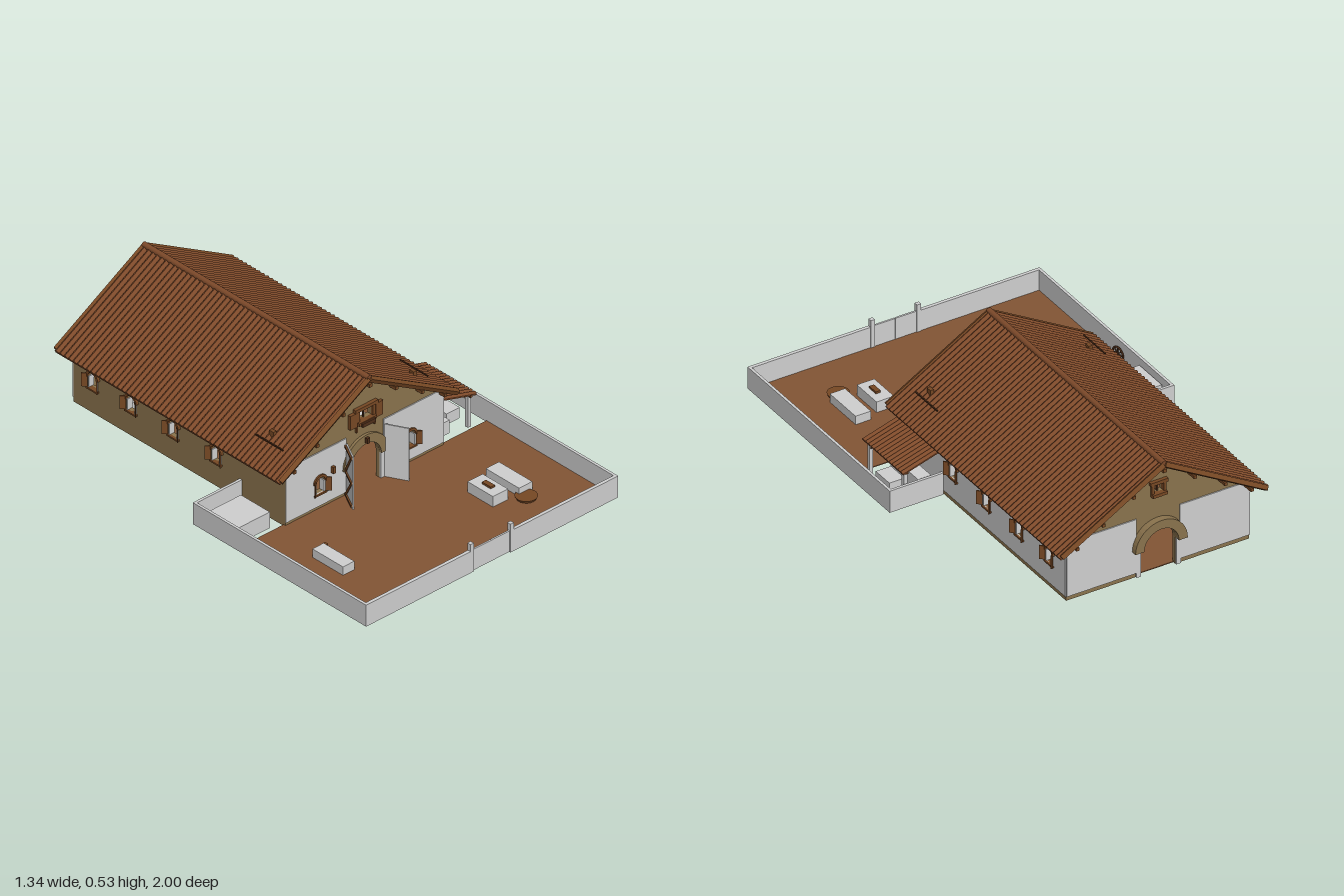
import * as THREE from 'three';

const V = (x, y, z) => new THREE.Vector3(x, y, z);

export function createModel() {
  const root = new THREE.Group();
  const mat = (name, color) => Object.assign(new THREE.MeshStandardMaterial({ color }), { name });
  const plaster = mat('plaster', 0xcfcfcf), stone = mat('ochre stone', 0x8a734d);
  const tile = mat('roof tile', 0x7e4a2a), earth = mat('yard earth', 0x825535);
  const wood = mat('wood', 0x774824), dark = mat('dark wood', 0x4f2f1a);

  const add = (parent, name, geo, m, x = 0, y = 0, z = 0) => {
    const mesh = new THREE.Mesh(geo, m);
    mesh.name = name;
    mesh.position.set(x, y, z);
    parent.add(mesh);
    return mesh;
  };
  // Box given by its extents along each axis
  const box = (parent, name, m, x0, x1, y0, y1, z0, z1) =>
    add(parent, name, new THREE.BoxGeometry(x1 - x0, y1 - y0, z1 - z0), m, (x0 + x1) / 2, (y0 + y1) / 2, (z0 + z1) / 2);
  // Square beam between two points
  const beam = (parent, name, m, a, b, t = 0.01) => {
    const mesh = add(parent, name, new THREE.BoxGeometry(t, t, a.distanceTo(b)), m);
    mesh.position.copy(a).lerp(b, 0.5);
    mesh.quaternion.setFromUnitVectors(V(0, 0, 1), b.clone().sub(a).normalize());
    return mesh;
  };
  const extrude = (shape, depth) => new THREE.ExtrudeGeometry(shape, { depth, bevelEnabled: false, curveSegments: 10 });
  const poly = pts => new THREE.Shape(pts.map(p => new THREE.Vector2(...p)));
  const archHole = (cx, y0, spring, r) => {
    const p = new THREE.Path();
    p.moveTo(cx - r, y0);
    p.lineTo(cx + r, y0);
    p.lineTo(cx + r, spring);
    p.absarc(cx, spring, r, 0, Math.PI, false);
    p.lineTo(cx - r, y0);
    return p;
  };
  const archRing = (r, R) => {
    const s = new THREE.Shape();
    s.absarc(0, 0, R, 0, Math.PI, false);
    s.absarc(0, 0, r, Math.PI, 0, true);
    return s;
  };

  // Arched window with plaster lining and two half-open shutters
  const windowHole = (cx, y) => archHole(cx, y, y + 0.05, 0.025);
  const addWindow = (wall, cx, y) => {
    const g = new THREE.Group();
    g.name = 'archedWindow';
    g.position.set(cx, y, 0);
    wall.add(g);
    add(g, 'windowArch', extrude(archRing(0.025, 0.036), 0.012), wood, 0, 0.05, 0);
    box(g, 'windowSill', wood, -0.032, 0.032, -0.007, 0, -0.01, 0.012);
    for (const s of [-1, 1]) {
      box(g, 'windowLining', plaster, s * 0.0225 - 0.0025, s * 0.0225 + 0.0025, 0, 0.05, -0.021, 0.007);
      const sh = add(g, 'shutter', new THREE.BoxGeometry(0.025, 0.062, 0.005), wood, s * 0.036, 0.033, 0.016);
      sh.rotation.y = -s * 0.75;
    }
  };
  const wallGroup = (name, x, z, ry) => {
    const g = new THREE.Group();
    g.name = name;
    g.position.set(x, 0, z);
    g.rotation.y = ry;
    root.add(g);
    return g;
  };

  // Gable walls: stone core, plaster lower halves, arched portal
  for (const front of [true, false]) {
    const g = wallGroup(front ? 'frontGable' : 'backGable', 0, front ? 0.27 : -0.94, front ? 0 : Math.PI);
    const core = poly([[-0.42, 0], [-0.08, 0], [-0.08, 0.125], [-0.42, 0.125]]);
    core.curves = [];
    const pts = [[-0.42, 0], [-0.08, 0]];
    for (let i = 0; i <= 16; i++) {
      const a = Math.PI * (1 - i / 16);
      pts.push([0.08 * Math.cos(a), 0.125 + 0.08 * Math.sin(a)]);
    }
    pts.push([0.08, 0], [0.42, 0], [0.42, 0.255], [0, 0.498], [-0.42, 0.255]);
    const shape = poly(pts), w = front ? 0.035 : 0.022, y0 = front ? 0.322 : 0.365, y1 = front ? 0.37 : 0.405;
    shape.holes.push(new THREE.Path([[-w, y0], [w, y0], [w, y1], [-w, y1]].map(p => new THREE.Vector2(...p))));
    if (front) for (const s of [-1, 1]) shape.holes.push(windowHole(s * 0.24, 0.08));
    add(g, 'gableCore', extrude(shape, 0.02), stone, 0, 0, -0.02);
    for (const s of [-1, 1]) {
      const p = [[0.1, 0.02], [0.42, 0.02], [0.42, 0.255], [0.395, 0.27], [0.1, 0.27]].map(([x, y]) => [s * x, y]);
      const panel = poly(p);
      if (front) panel.holes.push(windowHole(s * 0.24, 0.08));
      add(g, 'gablePlaster', extrude(panel, 0.005), plaster);
      box(g, 'portalJamb', plaster, s * 0.091 - 0.01, s * 0.091 + 0.01, 0, 0.125, -0.02, 0.008);
      if (front) addWindow(g, s * 0.24, 0.08);
    }
    add(g, 'portalArch', extrude(archRing(0.08, 0.12), front ? 0.012 : 0.03), stone, 0, 0.125, 0);
    // Loft window
    for (const s of [-1, 1]) {
      box(g, 'loftFrameSide', wood, s * (w + 0.006) - 0.006, s * (w + 0.006) + 0.006, y0 - 0.01, y1 + 0.01, -0.01, 0.012);
      if (front) box(g, 'loftShutter', wood, s * 0.068 - 0.019, s * 0.068 + 0.019, 0.305, 0.37, 0, 0.014);
    }
    const t = front ? 0.06 : w + 0.018;
    box(g, 'loftLintel', wood, -t, t, y1, y1 + 0.015, -0.01, 0.016);
    box(g, 'loftSill', wood, -w - 0.012, w + 0.012, y0 - 0.014, y0, -0.01, 0.022);
    box(g, 'loftMullion', dark, -0.003, 0.003, y0, y1, -0.01, -0.004);
    if (front) {
      box(g, 'flowerBox', dark, -0.035, 0.035, 0.302, 0.318, 0.005, 0.03);
      for (const s of [-1, 1]) beam(g, 'flowerBoxBracket', wood, V(s * 0.048, 0.275, 0.006), V(s * 0.048, 0.31, 0.006), 0.008);
    }
  }

  // Long side walls with four windows each
  const windowZ = [-0.12, -0.365, -0.605, -0.825];
  for (const s of [1, -1]) {
    const g = wallGroup(s > 0 ? 'leftWall' : 'rightWall', s * 0.42, -0.335, s * Math.PI / 2);
    const core = poly([[-0.605, 0], [0.605, 0], [0.605, 0.254], [-0.605, 0.254]]);
    const skin = poly([[-0.605, 0.02], [0.605, 0.02], [0.605, 0.254], [-0.605, 0.254]]);
    for (const z of windowZ) {
      const cx = -s * (z + 0.335);
      core.holes.push(windowHole(cx, 0.115));
      skin.holes.push(windowHole(cx, 0.115));
      addWindow(g, cx, 0.115);
    }
    add(g, 'sideCore', extrude(core, 0.02), stone, 0, 0, -0.02);
    if (s > 0) add(g, 'sidePlaster', extrude(skin, 0.004), plaster);
  }

  // Ribbed tile roof: scalloped section swept down the slope
  const ribbedRoof = (name, top, down, zLen, len, ribs, base, amp) => {
    const pts = [[-zLen / 2, 0], [zLen / 2, 0]];
    for (let i = ribs * 6; i >= 0; i--)
      pts.push([-zLen / 2 + zLen * i / (ribs * 6), base + amp * Math.abs(Math.sin(Math.PI * i / 6))]);
    const n = down.x > 0 ? V(-down.y, down.x, 0) : V(down.y, -down.x, 0);
    const mesh = add(root, name, extrude(poly(pts), len), tile);
    mesh.quaternion.setFromRotationMatrix(new THREE.Matrix4().makeBasis(n.clone().cross(down), n, down));
    mesh.position.copy(top);
  };
  const C = Math.cos(Math.PI / 6), S = 0.5;
  for (const s of [-1, 1]) {
    ribbedRoof('mainRoofSlope', V(0, 0.502, -0.345), V(s * C, -S, 0), 1.28, 0.545, 51, 0.012, 0.01);
    // Verge boards, purlin ends, rafter tails and snow guard
    for (const z of [0.297, -0.987]) beam(root, 'vergeBoard', wood, V(s * 0.002, 0.513, z), V(s * 0.47, 0.243, z), 0.02);
    for (const x of [0.14, 0.28, 0.4]) beam(root, 'purlin', wood, V(s * x, 0.492 - x * 0.577, -0.995), V(s * x, 0.492 - x * 0.577, 0.306), 0.014);
    for (let i = 0; i < 16; i++) {
      const z = 0.25 - i * 0.08;
      beam(root, 'rafterTail', wood, V(s * 0.41, 0.257, z), V(s * 0.46, 0.228, z), 0.01);
    }
    beam(root, 'snowGuard', dark, V(s * 0.385, 0.316, 0.06), V(s * 0.385, 0.316, 0.22), 0.005);
    box(root, 'roofVent', wood, s * 0.345 - 0.008, s * 0.345 + 0.008, 0.31, 0.342, s > 0 ? 0.165 : 0.105, s > 0 ? 0.19 : 0.13);
  }
  const ridge = add(root, 'ridgeTiles', new THREE.CylinderGeometry(0.013, 0.013, 1.29, 10), tile, 0, 0.519, -0.345);
  ridge.rotation.x = Math.PI / 2;
  beam(root, 'ridgeBeam', wood, V(0, 0.488, -0.995), V(0, 0.488, 0.308), 0.016);

  // Open portal doors with braces on the inner face
  for (const s of [-1, 1]) {
    const g = wallGroup('portalDoor', s * 0.102, 0.278, s > 0 ? -1.08 : Math.PI + 1.08);
    box(g, 'doorLeaf', plaster, 0, 0.1, 0.006, 0.25, -0.003, 0.003);
    for (const [a, b] of [[0.02, 0.12], [0.13, 0.24]])
      beam(g, 'doorBrace', wood, V(0.008, a, -s * 0.005), V(0.092, b, -s * 0.005), 0.009);
    for (const y of [0.02, 0.125, 0.24])
      beam(g, 'doorLedge', wood, V(0.002, y, -s * 0.005), V(0.098, y, -s * 0.005), 0.009);
  }

  // Floors and courtyard wall
  box(root, 'yardFloor', earth, -0.66, 0.66, 0.002, 0.006, 0.26, 0.985);
  box(root, 'barnFloor', earth, -0.41, 0.41, 0.002, 0.006, -0.93, 0.26);
  box(root, 'yardWallLeft', plaster, 0.658, 0.67, 0, 0.1, -0.045, 1);
  box(root, 'yardWallRight', plaster, -0.67, -0.658, 0, 0.1, 0.01, 1);
  box(root, 'yardWallLeftBack', plaster, 0.424, 0.67, 0, 0.1, -0.045, -0.033);
  box(root, 'yardWallRightBack', plaster, -0.67, -0.42, 0, 0.1, 0.01, 0.022);
  for (const s of [-1, 1]) {
    box(root, 'yardWallFront', plaster, s * 0.389 - 0.281, s * 0.389 + 0.281, 0, 0.1, 0.985, 1);
    box(root, 'gatePost', plaster, s * 0.106 - 0.009, s * 0.106 + 0.009, 0, 0.132, 0.982, 1);
    box(root, 'gateLeaf', plaster, s * 0.05 - 0.049, s * 0.05 + 0.049, 0.003, 0.1, 0.988, 0.996);
  }

  // Lean-to shelter on the left side
  const a = Math.atan2(0.055, 0.185);
  ribbedRoof('shelterRoof', V(0.42, 0.203, 0.11), V(Math.cos(a), -Math.sin(a), 0), 0.3, 0.193, 14, 0.006, 0.007);
  for (const z of [-0.015, 0.235]) {
    box(root, 'shelterPost', plaster, 0.576, 0.592, 0, 0.15, z - 0.008, z + 0.008);
    beam(root, 'shelterBrace', wood, V(0.584, 0.115, z), V(0.584, 0.15, z + (z > 0 ? -0.035 : 0.035)), 0.008);
    beam(root, 'shelterRafter', wood, V(0.42, 0.198, z), V(0.6, 0.145, z), 0.01);
  }
  beam(root, 'shelterBeam', wood, V(0.584, 0.15, -0.035), V(0.584, 0.15, 0.255), 0.012);
  box(root, 'shelterTrough', plaster, 0.44, 0.5, 0, 0.06, 0.02, 0.22);
  box(root, 'shelterTable', plaster, 0.53, 0.6, 0, 0.05, 0.07, 0.17);

  // Yard furniture
  box(root, 'storageBin', plaster, -0.65, -0.47, 0, 0.075, 0.07, 0.235);
  box(root, 'stoneBench', plaster, -0.495, -0.435, 0, 0.045, 0.505, 0.68);
  box(root, 'workTable', plaster, 0.26, 0.34, 0, 0.055, 0.58, 0.725);
  box(root, 'longTrough', plaster, 0.385, 0.455, 0, 0.045, 0.55, 0.74);
  box(root, 'tableTool', wood, 0.29, 0.312, 0.055, 0.064, 0.63, 0.68);
  box(root, 'bucket', wood, -0.425, -0.408, 0.006, 0.028, 0.485, 0.502);
  add(root, 'basket', new THREE.CylinderGeometry(0.046, 0.04, 0.012, 18), wood, 0.4, 0.012, 0.765);
  const wheel = new THREE.Group();
  wheel.name = 'cartWheel';
  wheel.position.set(-0.648, 0.042, 0.39);
  wheel.rotation.set(0, Math.PI / 2 + 0.15, 0);
  root.add(wheel);
  add(wheel, 'wheelRim', new THREE.TorusGeometry(0.031, 0.004, 6, 20), dark);
  for (let i = 0; i < 4; i++)
    add(wheel, 'wheelSpoke', new THREE.BoxGeometry(0.06, 0.004, 0.004), dark).rotation.z = i * Math.PI / 4;

  // Lanterns and tools on the front wall
  box(root, 'wallLantern', wood, -0.182, -0.17, 0.148, 0.178, 0.276, 0.29);
  box(root, 'portalLantern', dark, -0.007, 0.007, 0.212, 0.236, 0.282, 0.296);
  beam(root, 'pitchfork', wood, V(0.185, 0.01, 0.3), V(0.185, 0.13, 0.28), 0.006);
  box(root, 'forkHead', wood, 0.179, 0.191, 0.11, 0.134, 0.277, 0.284);

  // Stalls and chests inside: x, z, width, depth
  for (const [x, z, w, d] of [[0.27, -0.85, 0.12, 0.08], [-0.245, -0.88, 0.12, 0.07], [-0.33, -0.77, 0.08, 0.1],
    [-0.37, -0.56, 0.04, 0.14], [-0.37, -0.31, 0.04, 0.14], [-0.35, -0.05, 0.07, 0.12], [-0.34, 0.14, 0.1, 0.1],
    [0.29, -0.37, 0.06, 0.1], [0.27, -0.11, 0.07, 0.12], [0.3, 0.06, 0.06, 0.12]])
    box(root, 'indoorChest', plaster, x - w / 2, x + w / 2, 0, 0.05, z - d / 2, z + d / 2);
  for (const s of [-1, 1]) for (const z of [-0.7, -0.45, -0.2])
    box(root, 'stallPartition', plaster, s * 0.18 - 0.06, s * 0.18 + 0.06, 0, 0.09, z - 0.003, z + 0.003);
  add(root, 'indoorOven', new THREE.CylinderGeometry(0.07, 0.07, 0.07, 8), plaster, 0.23, 0.035, -0.59);
  return root;
}
